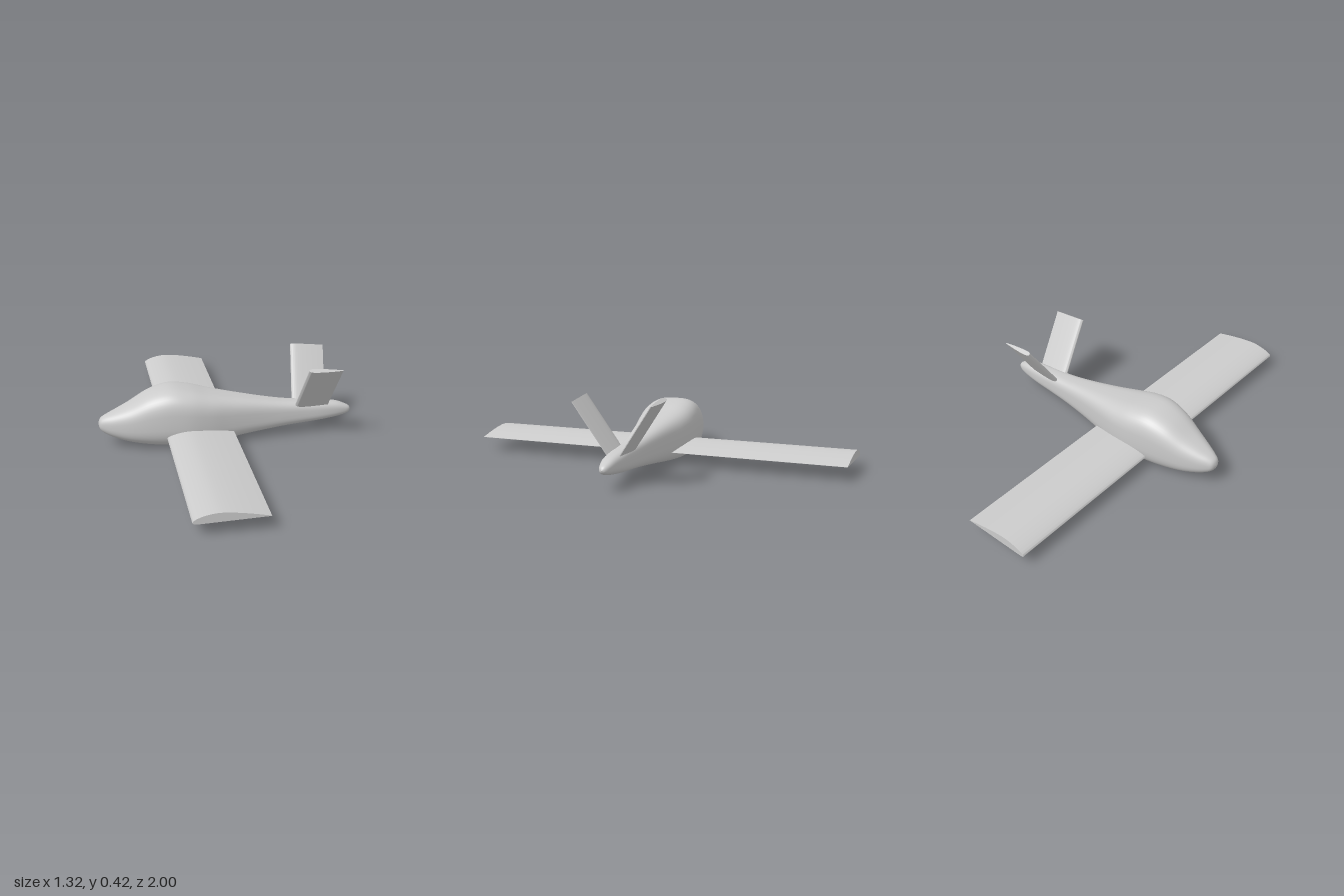
import * as THREE from 'three';
import { toCreasedNormals } from 'three/addons/utils/BufferGeometryUtils.js';

const material = new THREE.MeshStandardMaterial({ color: 0xcccccc });

// Fuselage stations from nose to tail: x, top, bottom, half width
const STATIONS = [
  [-0.66, 0.122, 0.122, 0], [-0.652, 0.146, 0.095, 0.026], [-0.63, 0.163, 0.074, 0.043],
  [-0.58, 0.185, 0.05, 0.068], [-0.5, 0.222, 0.026, 0.098], [-0.4, 0.277, 0.01, 0.125],
  [-0.3, 0.303, 0.004, 0.142], [-0.2, 0.291, 0.002, 0.147], [-0.1, 0.264, 0.007, 0.134],
  [0, 0.241, 0.016, 0.111], [0.1, 0.221, 0.028, 0.09], [0.2, 0.202, 0.039, 0.073],
  [0.3, 0.186, 0.05, 0.061], [0.4, 0.176, 0.058, 0.053], [0.5, 0.169, 0.067, 0.048],
  [0.58, 0.158, 0.077, 0.039], [0.63, 0.14, 0.087, 0.027], [0.652, 0.127, 0.098, 0.015],
  [0.66, 0.112, 0.112, 0],
];

// Skin of rounded-square rings that turn rounder toward nose and tail
function fuselageGeometry() {
  const rows = 96, cols = 48;
  const [top, bottom, width] = [1, 2, 3].map(
    (k) => new THREE.SplineCurve(STATIONS.map((s) => new THREE.Vector2(s[0], s[k]))));
  const positions = [], index = [];
  const power = (v, e) => Math.sign(v) * Math.abs(v) ** e;
  for (let i = 0; i <= rows; i++) {
    const t = i / rows;
    const { x, y: hi } = top.getPoint(t);
    const lo = bottom.getPoint(t).y;
    const w = width.getPoint(t).y;
    const e = 2 / (2 + 1.2 * Math.sin(Math.PI * t));
    for (let j = 0; j < cols; j++) {
      const a = (j / cols) * Math.PI * 2;
      positions.push(x, (hi + lo) / 2 + ((hi - lo) / 2) * power(Math.sin(a), e), w * power(Math.cos(a), e));
      if (i === rows) continue;
      const p = i * cols + j, q = i * cols + ((j + 1) % cols);
      index.push(p, p + cols, q, q, p + cols, q + cols);
    }
  }
  const geometry = new THREE.BufferGeometry();
  geometry.setAttribute('position', new THREE.Float32BufferAttribute(positions, 3));
  geometry.setIndex(index);
  geometry.computeVertexNormals();
  return geometry;
}

// Straight panel with an airfoil section, extruded along z
function panel(name, shape, depth) {
  const geometry = new THREE.ExtrudeGeometry(shape, { depth, bevelEnabled: false, curveSegments: 16 });
  const mesh = new THREE.Mesh(toCreasedNormals(geometry, 0.7), material);
  mesh.name = name;
  return mesh;
}

// Curved-top, nearly flat-bottomed wing section
function wingSection() {
  const shape = new THREE.Shape();
  shape.moveTo(0.02, 0.074);
  shape.bezierCurveTo(-0.08, 0.097, -0.16, 0.109, -0.205, 0.109);
  shape.bezierCurveTo(-0.26, 0.109, -0.325, 0.086, -0.325, 0.071);
  shape.bezierCurveTo(-0.325, 0.062, -0.3, 0.063, -0.28, 0.063);
  shape.lineTo(0.02, 0.073);
  return shape;
}

// Thin symmetric teardrop fin section, leading edge at the origin
function finSection(chord, half) {
  const shape = new THREE.Shape();
  shape.moveTo(chord, -0.002);
  shape.lineTo(chord, 0.002);
  shape.bezierCurveTo(chord * 0.7, half * 0.7, chord * 0.35, half, chord * 0.2, half);
  shape.bezierCurveTo(chord * 0.06, half, 0, half * 0.6, 0, 0);
  shape.bezierCurveTo(0, -half * 0.6, chord * 0.06, -half, chord * 0.2, -half);
  shape.bezierCurveTo(chord * 0.35, -half, chord * 0.7, -half * 0.7, chord, -0.002);
  return shape;
}

// One leaning, slightly swept fin of the V-tail
function tailFin(name, side) {
  const sweep = 0.085, lean = 0.59, span = 0.32;
  const up = new THREE.Vector3(0, Math.cos(lean), side * Math.sin(lean));
  const along = new THREE.Vector3(1, 0, 0);
  const spanDir = up.clone().multiplyScalar(Math.cos(sweep)).addScaledVector(along, Math.sin(sweep));
  const chordDir = along.clone().multiplyScalar(Math.cos(sweep)).addScaledVector(up, -Math.sin(sweep));
  const thickDir = spanDir.clone().cross(chordDir);
  const fin = panel(name, finSection(0.177, 0.012), span);
  fin.quaternion.setFromRotationMatrix(new THREE.Matrix4().makeBasis(chordDir, thickDir, spanDir));
  fin.position.set(0.378, 0.415, side * 0.206).addScaledVector(spanDir, -span);
  return fin;
}

export function createModel() {
  const model = new THREE.Group();
  model.name = 'glider';

  const fuselage = new THREE.Mesh(fuselageGeometry(), material);
  fuselage.name = 'fuselage';

  // Single wing running through the fuselage
  const wing = panel('wing', wingSection(), 2);
  wing.position.z = -1;

  model.add(fuselage, wing, tailFin('frontTailFin', 1), tailFin('backTailFin', -1));
  return model;
}
